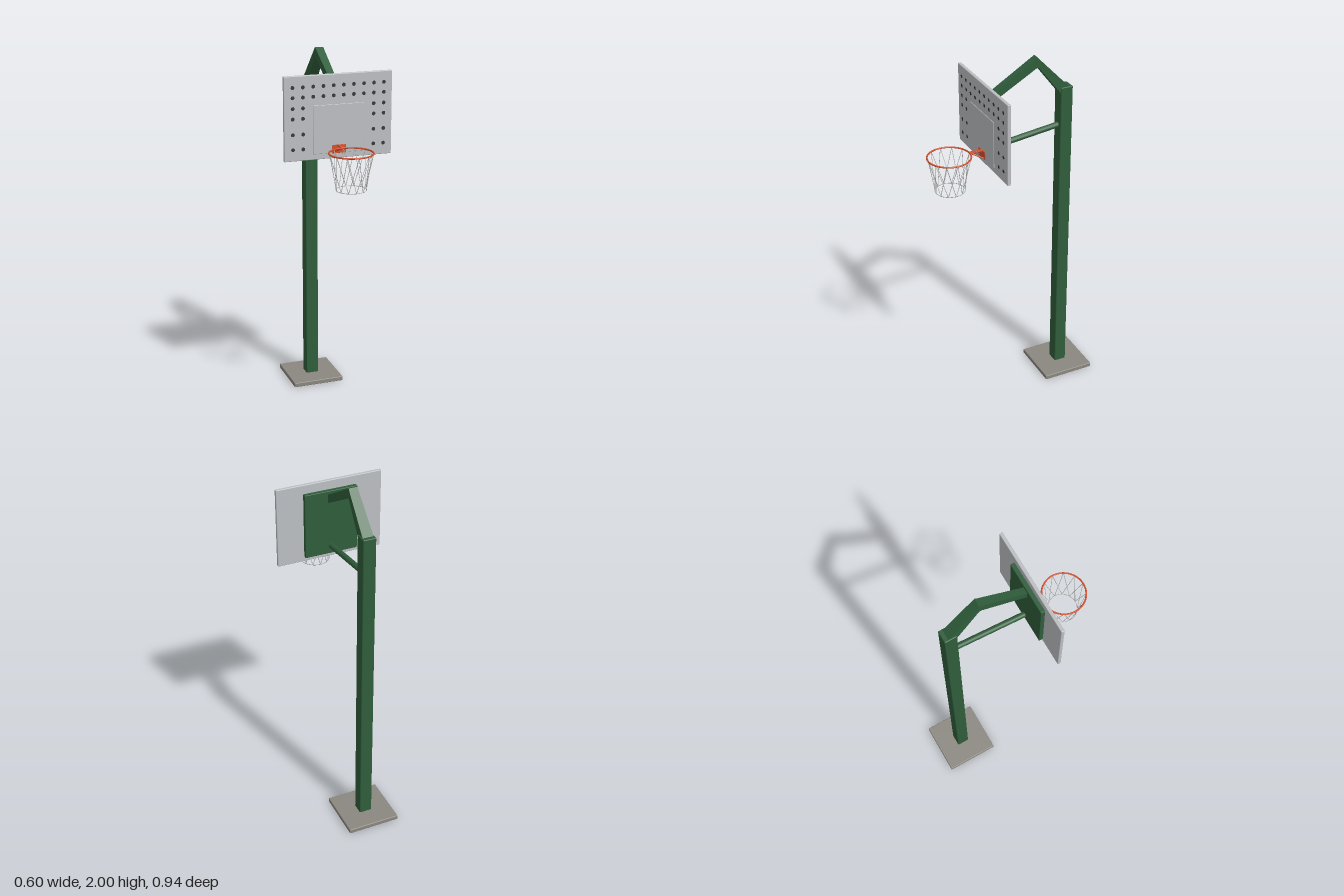
import * as THREE from 'three';
import { RoundedBoxGeometry } from 'three/addons/geometries/RoundedBoxGeometry.js';
import { mergeGeometries } from 'three/addons/utils/BufferGeometryUtils.js';

const material = (name, color) => {
  const m = new THREE.MeshStandardMaterial({ color });
  m.name = name;
  return m;
};

export function createModel() {
  const green = material('green paint', 0x2f5d3b);
  const concrete = material('concrete grey', 0x8b8780);
  const board = material('board grey', 0xbcbfc2);
  const dark = material('hole dark', 0x33373a);
  const orange = material('rim orange', 0xd4502c);
  const cord = material('net cord', 0xb8b8b8);

  const model = new THREE.Group();
  model.name = 'basketballHoop';
  const V = (x, y, z) => new THREE.Vector3(x, y, z);

  function add(name, geometry, mat) {
    const mesh = new THREE.Mesh(geometry, mat);
    mesh.name = name;
    model.add(mesh);
    return mesh;
  }

  // Softly rounded box given by its lower and upper corners
  function block(name, a, b, radius, mat) {
    const size = b.clone().sub(a);
    const mesh = add(name, new RoundedBoxGeometry(size.x, size.y, size.z, 2, radius), mat);
    mesh.position.copy(a).add(b).multiplyScalar(0.5);
  }

  // Round bar between two points
  function bar(a, b, ra, rb, sides) {
    const dir = b.clone().sub(a);
    const g = new THREE.CylinderGeometry(rb, ra, dir.length(), sides);
    g.applyQuaternion(new THREE.Quaternion().setFromUnitVectors(V(0, 1, 0), dir.normalize()));
    const mid = a.clone().add(b).multiplyScalar(0.5);
    return g.translate(mid.x, mid.y, mid.z);
  }

  // Rectangular beam through cross-sections [half width, outer y, outer z, inner y, inner z]
  function beam(sections) {
    const rings = sections.map(([w, oy, oz, iy, iz]) =>
      [V(-w, oy, oz), V(w, oy, oz), V(w, iy, iz), V(-w, iy, iz)]);
    const points = [];
    const quad = (a, b, c, d) => points.push(a, b, c, a, c, d);
    for (let i = 0; i < rings.length - 1; i++) {
      const a = rings[i], b = rings[i + 1];
      for (let j = 0; j < 4; j++) {
        const k = (j + 1) % 4;
        quad(a[j], b[j], b[k], a[k]);
      }
    }
    const first = rings[0], last = rings[rings.length - 1];
    quad(first[0], first[1], first[2], first[3]);
    quad(last[3], last[2], last[1], last[0]);
    const g = new THREE.BufferGeometry().setFromPoints(points);
    g.computeVertexNormals();
    return g;
  }

  // Base, pole and supporting arms
  block('base', V(-0.15, 0, -0.47), V(0.15, 0.026, -0.17), 0.004, concrete);
  block('pole', V(-0.036, 0.02, -0.358), V(0.036, 1.81, -0.288), 0.005, green);
  add('upperArm', beam([
    [0.03, 1.8, -0.345, 1.775, -0.29],
    [0.025, 1.985, -0.168, 1.945, -0.158],
    [0.024, 2.0, -0.155, 1.945, -0.152],
    [0.023, 1.99, -0.138, 1.943, -0.146],
    [0.018, 1.838, 0.118, 1.79, 0.118],
  ]), green);
  add('lowerArm', bar(V(0, 1.585, -0.3), V(0, 1.533, 0.118), 0.016, 0.016, 12), green);

  // Backboard with its rear plate and raised target panel
  block('rearPlate', V(-0.15, 1.49, 0.113), V(0.15, 1.86, 0.137), 0.003, green);
  block('backboard', V(-0.3, 1.46, 0.137), V(0.3, 1.91, 0.156), 0.004, board);
  block('targetPanel', V(-0.142, 1.49, 0.154), V(0.142, 1.75, 0.159), 0.002, board);

  // Rows of holes: two full rows on top, two columns down each side
  const holes = [];
  [1.85, 1.797, 1.74, 1.685, 1.602, 1.522].forEach((y, row) => {
    for (let i = 0; i < 10; i++) {
      if (row > 1 && i > 1 && i < 8) continue;
      holes.push(new THREE.CircleGeometry(0.0105, 10).translate((i - 4.5) * 0.0562, y, 0.1568));
    }
  });
  add('boardHoles', mergeGeometries(holes), dark);

  // Rim and bracket
  const cy = 1.53, cz = 0.348, rimRadius = 0.116;
  add('rim', new THREE.TorusGeometry(rimRadius, 0.0045, 8, 48)
    .rotateX(Math.PI / 2).translate(0, cy, cz), orange);
  block('bracketPlate', V(-0.039, 1.488, 0.156), V(0.039, 1.533, 0.162), 0.001, orange);
  block('bracketArm', V(-0.01, 1.527, 0.158), V(0.01, 1.533, 0.235), 0.001, orange);
  for (const side of [-1, 1]) {
    add(side > 0 ? 'leftStrut' : 'rightStrut',
      bar(V(side * 0.03, 1.494, 0.16), V(side * 0.004, cy, 0.232), 0.0035, 0.0035, 6), orange);
  }

  // Net: crossing strands down to a smaller ring
  const netBottom = 1.335, netRadius = 0.08, count = 12;
  const onRing = (i, r, y) => {
    const t = (i / count) * Math.PI * 2;
    return V(Math.cos(t) * r, y, cz + Math.sin(t) * r);
  };
  const strands = [new THREE.TorusGeometry(netRadius, 0.0018, 5, 36)
    .rotateX(Math.PI / 2).translate(0, netBottom, cz)];
  for (let i = 0; i < count; i++) {
    for (const step of [-1, 1]) {
      strands.push(bar(onRing(i, rimRadius, cy), onRing(i + step, netRadius, netBottom), 0.0016, 0.0016, 5));
    }
  }
  add('net', mergeGeometries(strands), cord);

  return model;
}
